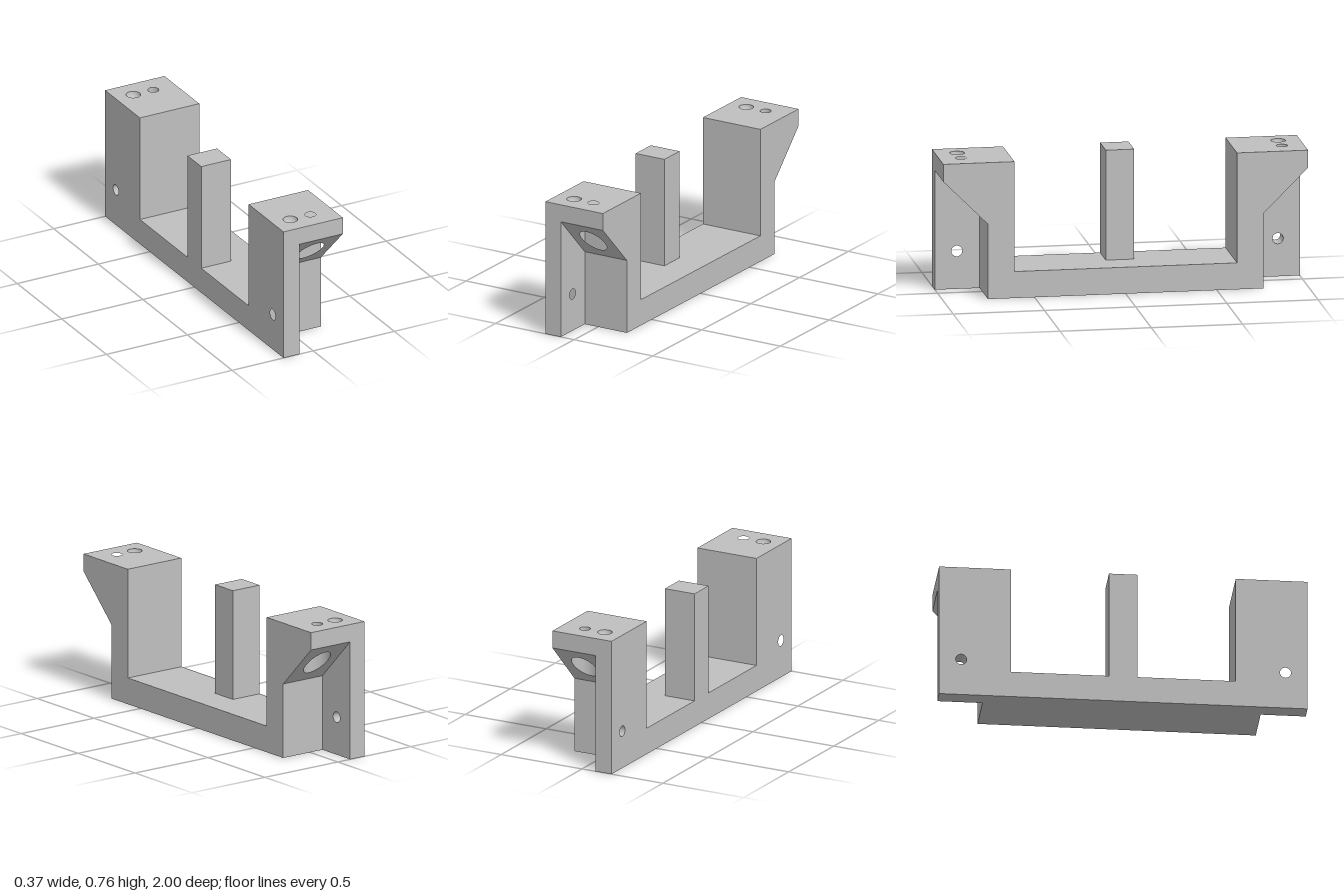
import * as THREE from 'three';
import { toCreasedNormals } from 'three/addons/utils/BufferGeometryUtils.js';

const X0 = -0.183, XW = -0.085, X1 = 0.183; // outer side, inner face of thin wall, other side
const TOP = 0.757, CAP = 0.66, BASE = 0.147; // heights
const ZI = 0.61, ZN = 0.755, ZE = 1;         // block start, notch start, end
const ZH = 0.88;                             // hole centre line

function shapeOf(points, holes = []) {
  const shape = new THREE.Shape(points.map(([x, y]) => new THREE.Vector2(x, y)));
  for (const [x, y, r] of holes) {
    shape.holes.push(new THREE.Path().absarc(x, y, r, 0, Math.PI * 2, true));
  }
  return shape;
}

function extrude(points, holes, depth) {
  return new THREE.ExtrudeGeometry(shapeOf(points, holes), { depth, bevelEnabled: false, curveSegments: 24 });
}

const rect = (a, b, c, d) => [[a, c], [b, c], [b, d], [a, d]];

// profile given in (-z, y), swept along x
function alongX(points, holes, xa, xb) {
  return extrude(points, holes, xb - xa).rotateY(Math.PI / 2).translate(xa, 0, 0);
}

// profile given in (x, -z), swept along y
function alongY(points, holes, ya, yb) {
  return extrude(points, holes, yb - ya).rotateX(-Math.PI / 2).translate(0, ya, 0);
}

export function createModel() {
  const model = new THREE.Group();
  model.name = 'bracket';
  const grey = new THREE.MeshStandardMaterial({ color: 0xbfbfbf });
  grey.name = 'grey';

  function add(parent, name, geometry) {
    const mesh = new THREE.Mesh(geometry, grey);
    mesh.name = name;
    parent.add(mesh);
  }

  // U-shaped base with both uprights
  add(model, 'base', alongX([
    [-ZN, 0], [ZN, 0], [ZN, CAP], [ZI, CAP], [ZI, BASE], [-ZI, BASE], [-ZI, CAP], [-ZN, CAP],
  ], [], X0, X1));

  // post in the middle
  add(model, 'post', new THREE.BoxGeometry(-X0, TOP - BASE, 0.156)
    .translate(X0 / 2, (TOP + BASE) / 2, 0));

  for (const s of [1, -1]) {
    const end = new THREE.Group();
    end.name = s > 0 ? 'frontEnd' : 'backEnd';
    model.add(end);

    // top plate with screw hole and dimple opening
    add(end, 'topPlate', toCreasedNormals(alongY(rect(X0, X1, -s * ZI, -s * ZE),
      [[0.048, -s * ZH, 0.03], [-0.075, -s * ZH, 0.04]], CAP, TOP), 0.5));

    // round dimple, facing inward
    const bowl = [];
    for (let i = 0; i <= 10; i++) {
      const a = (i / 10) * Math.PI / 2;
      bowl.push(new THREE.Vector2(0.04 * Math.cos(a), -0.04 * Math.sin(a)));
    }
    add(end, 'dimple', new THREE.LatheGeometry(bowl, 48).translate(-0.075, TOP, s * ZH));

    // thin side wall with cross hole
    add(end, 'sideWall', toCreasedNormals(alongX(rect(-s * ZN, -s * ZE, 0, CAP),
      [[-s * ZH, 0.21, 0.03]], X0, XW), 0.5));

    // sloped overhang with a vertical counterbore: the underside rises at 45 degrees
    const wedge = alongY(rect(XW, X1, -s * ZN, -s * ZE), [[0.048, -s * ZH, 0.073]], 0, CAP);
    const p = wedge.attributes.position;
    for (let i = 0; i < p.count; i++) {
      if (p.getY(i) < CAP / 2) p.setY(i, CAP - (ZE - Math.abs(p.getZ(i))));
    }
    add(end, 'slopedOverhang', toCreasedNormals(wedge, 0.5));
  }
  return model;
}
